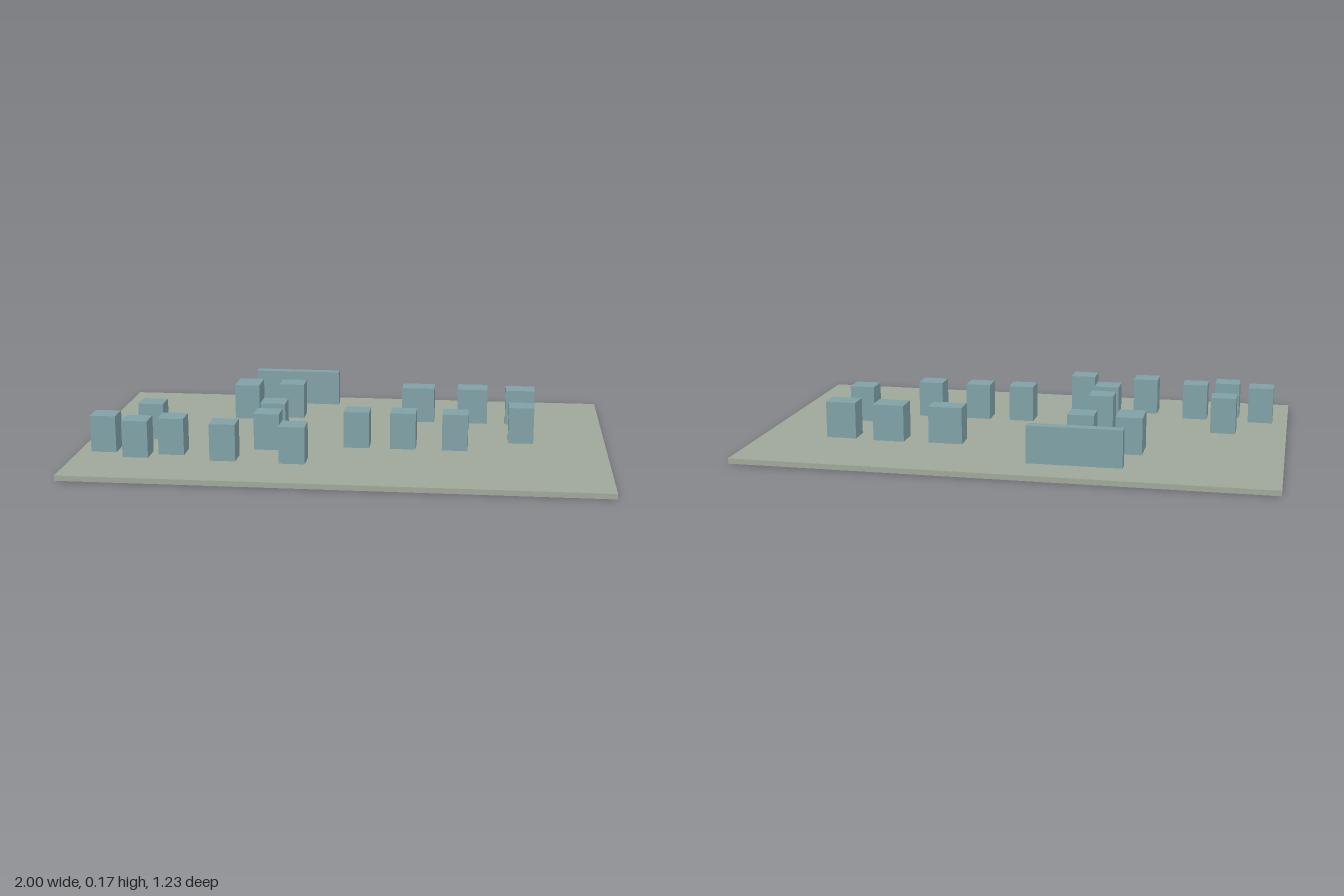
import * as THREE from 'three';

const groundMaterial = new THREE.MeshStandardMaterial({ color: 0xa0a89a });
const blockMaterial = new THREE.MeshStandardMaterial({ color: 0x80a2a8 });

// Box standing with its underside at height y
function addBox(parent, name, material, [w, h, d], [x, y, z]) {
  const mesh = new THREE.Mesh(new THREE.BoxGeometry(w, h, d), material);
  mesh.name = name;
  mesh.position.set(x, y + h / 2, z);
  parent.add(mesh);
}

export function createModel() {
  const model = new THREE.Group();
  model.name = 'sitePlan';

  // Ground slab
  addBox(model, 'ground', groundMaterial, [2, 0.02, 1.234], [0, 0, 0]);

  // Blocks hover just above the slab, all the same height
  const height = 0.14, base = 0.03;
  const blocks = new THREE.Group();
  blocks.name = 'blocks';
  model.add(blocks);

  // Long thin wall at the back
  addBox(blocks, 'backWall', blockMaterial, [0.35, height, 0.04], [-0.265, base, -0.477]);

  // Back row of varied footprints: x, z, width, depth
  const backRow = [
    [-0.437, -0.251, 0.1, 0.122],
    [-0.257, -0.267, 0.1, 0.088],
    [0.262, -0.253, 0.13, 0.082],
    [0.482, -0.257, 0.12, 0.093],
    [0.673, -0.253, 0.116, 0.082],
  ];
  backRow.forEach(([x, z, w, d], i) =>
    addBox(blocks, `backBlock${i + 1}`, blockMaterial, [w, height, d], [x, base, z]));

  // Identical small blocks: x, z
  const smallBlocks = [
    [0.674, 0.018], [-0.286, 0.046], [-0.286, 0.206], [-0.757, 0.102],
    [0.05, 0.144], [0.227, 0.144], [0.424, 0.144],
    [-0.893, 0.297], [-0.757, 0.355], [-0.631, 0.308],
    [-0.425, 0.367], [-0.165, 0.377],
  ];
  smallBlocks.forEach(([x, z], i) =>
    addBox(blocks, `smallBlock${i + 1}`, blockMaterial, [0.097, height, 0.088], [x, base, z]));

  return model;
}
